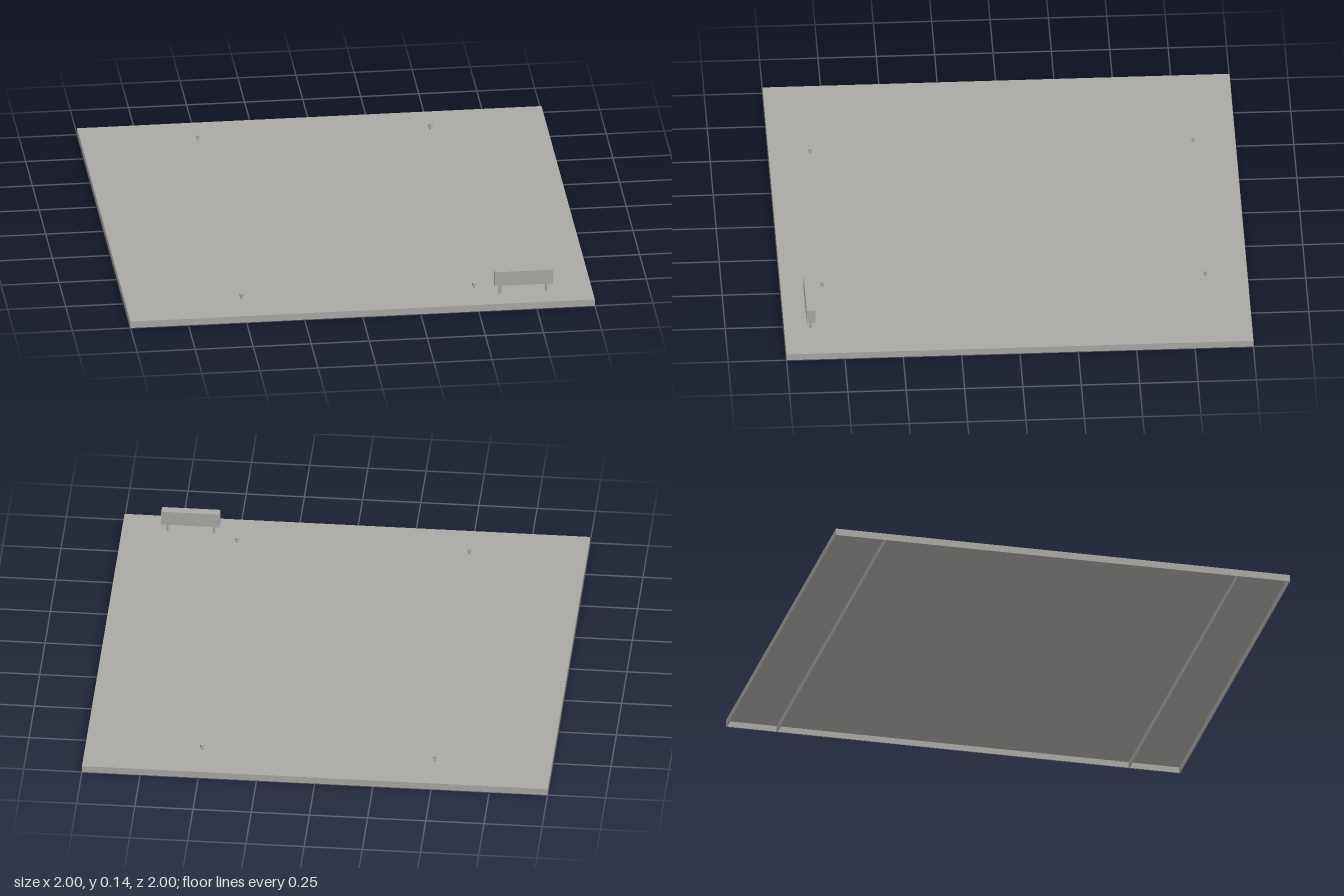
import * as THREE from 'three';

export function createModel() {
  const model = new THREE.Group();
  const grey = new THREE.MeshStandardMaterial({ color: 0xaaa8a5 });
  grey.name = 'warm grey';

  const add = (name, geometry, x, y, z, parent = model) => {
    const mesh = new THREE.Mesh(geometry, grey);
    mesh.name = name;
    mesh.position.set(x, y, z);
    parent.add(mesh);
    return mesh;
  };
  const box = (w, h, d) => new THREE.BoxGeometry(w, h, d);

  // Shallow panel, open underneath: thin top, rim and two cross ribs
  const H = 0.03, skin = 0.004, wall = 0.005;
  const wallH = H - skin;
  const panel = new THREE.Group();
  panel.name = 'panel';
  model.add(panel);
  add('topSheet', box(2, skin, 2), 0, H - skin / 2, 0, panel);
  for (const s of [-1, 1]) {
    add('sideRim', box(wall, wallH, 2), s * (1 - wall / 2), wallH / 2, 0, panel);
    add('endRim', box(2 - 2 * wall, wallH, wall), 0, wallH / 2, s * (1 - wall / 2), panel);
    add('crossRib', box(2 - 2 * wall, wallH, wall), 0, wallH / 2, s * 0.775, panel);
  }

  // Four small headed pegs
  const pegProfile = [[0, 0], [0.005, 0], [0.005, 0.011], [0.009, 0.013], [0.009, 0.024], [0, 0.024]]
    .map(([r, y]) => new THREE.Vector2(r, y));
  const pegGeometry = new THREE.LatheGeometry(pegProfile, 12).toNonIndexed();
  pegGeometry.computeVertexNormals();
  for (const x of [-0.5, 0.5]) {
    for (const z of [-0.82, 0.82]) add('peg', pegGeometry, x, H, z);
  }

  // Raised block on two round legs
  const sign = new THREE.Group();
  sign.name = 'raisedBlock';
  model.add(sign);
  add('block', box(0.25, 0.065, 0.038), 0.705, 0.1035, 0.886, sign);
  for (const x of [0.604, 0.804]) {
    add('leg', new THREE.CylinderGeometry(0.006, 0.006, 0.043, 12), x, 0.0505, 0.886, sign);
  }

  return model;
}
